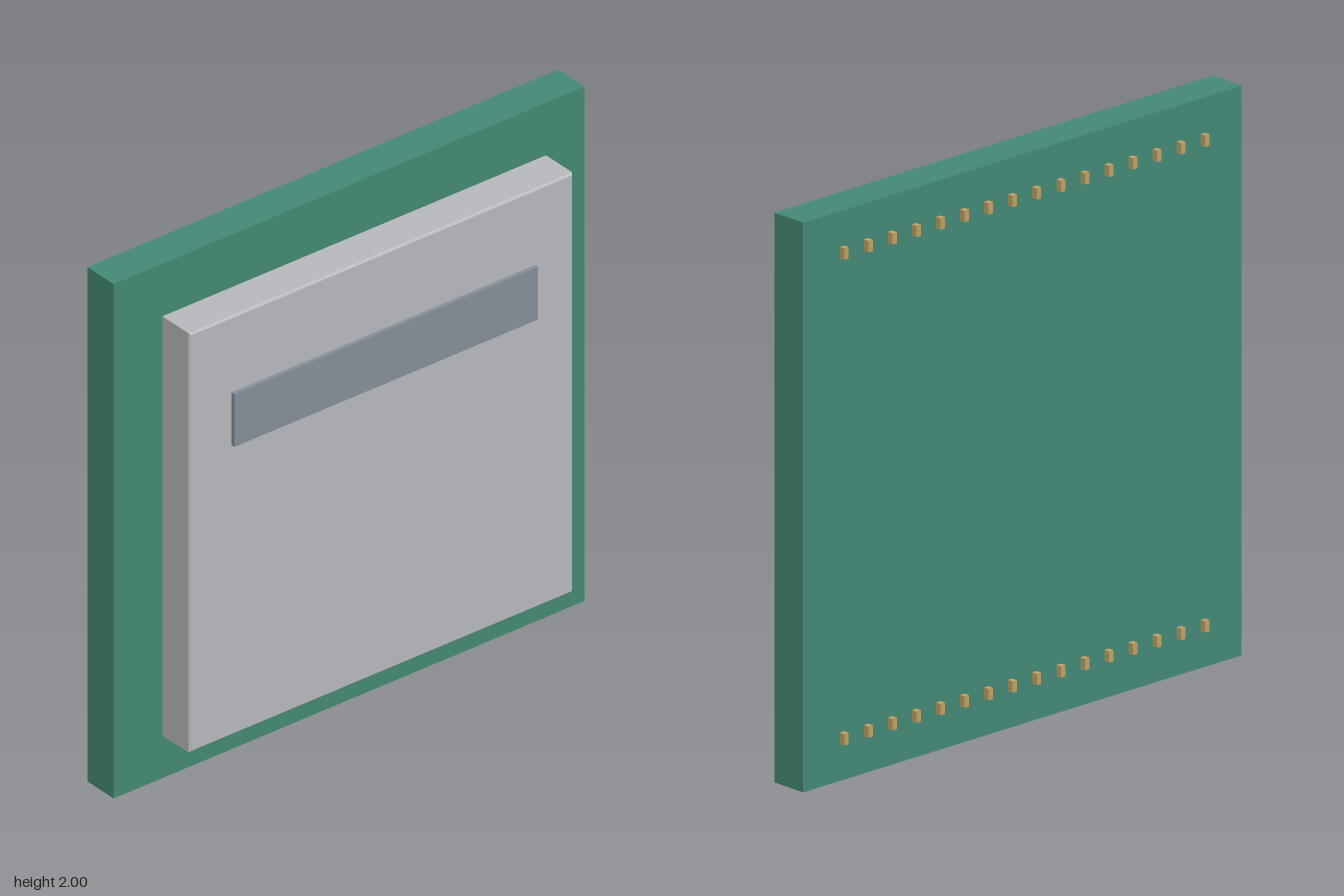
import * as THREE from 'three';

const mat = (name, color) => {
  const m = new THREE.MeshStandardMaterial({ color });
  m.name = name;
  return m;
};

// Box given by its min and max corners
function box(name, material, [x0, y0, z0], [x1, y1, z1]) {
  const mesh = new THREE.Mesh(new THREE.BoxGeometry(x1 - x0, y1 - y0, z1 - z0), material);
  mesh.position.set((x0 + x1) / 2, (y0 + y1) / 2, (z0 + z1) / 2);
  mesh.name = name;
  return mesh;
}

export function createModel() {
  const green = mat('board green', 0x448a76);
  const silver = mat('shield silver', 0xb8babd);
  const slate = mat('label slate', 0x858f9b);
  const gold = mat('pin gold', 0xc0a468);

  const model = new THREE.Group();
  model.name = 'circuitModule';

  // Circuit board
  model.add(box('board', green, [-1, 0, -0.157], [1, 2, -0.018]));

  // Metal shield with a fine chamfer, floating just in front of the board
  const c = 0.007, h = 0.815 - c;
  const outline = new THREE.Shape([
    new THREE.Vector2(-h, -h), new THREE.Vector2(h, -h),
    new THREE.Vector2(h, h), new THREE.Vector2(-h, h),
  ]);
  const shield = new THREE.Mesh(new THREE.ExtrudeGeometry(outline, {
    depth: 0.152 - 2 * c, bevelEnabled: true, bevelSegments: 1, bevelSize: c, bevelThickness: c,
  }), silver);
  shield.position.set(0, 1.002, 0.002 + c);
  shield.name = 'shield';
  model.add(shield);

  // Label strip
  model.add(box('label', slate, [-0.645, 1.325, 0.164], [0.645, 1.53, 0.179]));

  // Two rows of pins on the back
  const pins = new THREE.Group();
  pins.name = 'pins';
  for (const y of [0.15, 1.855]) {
    for (let i = 0; i < 16; i++) {
      const x = (i - 7.5) * 0.1097;
      pins.add(box('pin', gold, [x - 0.01, y - 0.02, -0.179], [x + 0.01, y + 0.02, -0.155]));
    }
  }
  model.add(pins);
  return model;
}
